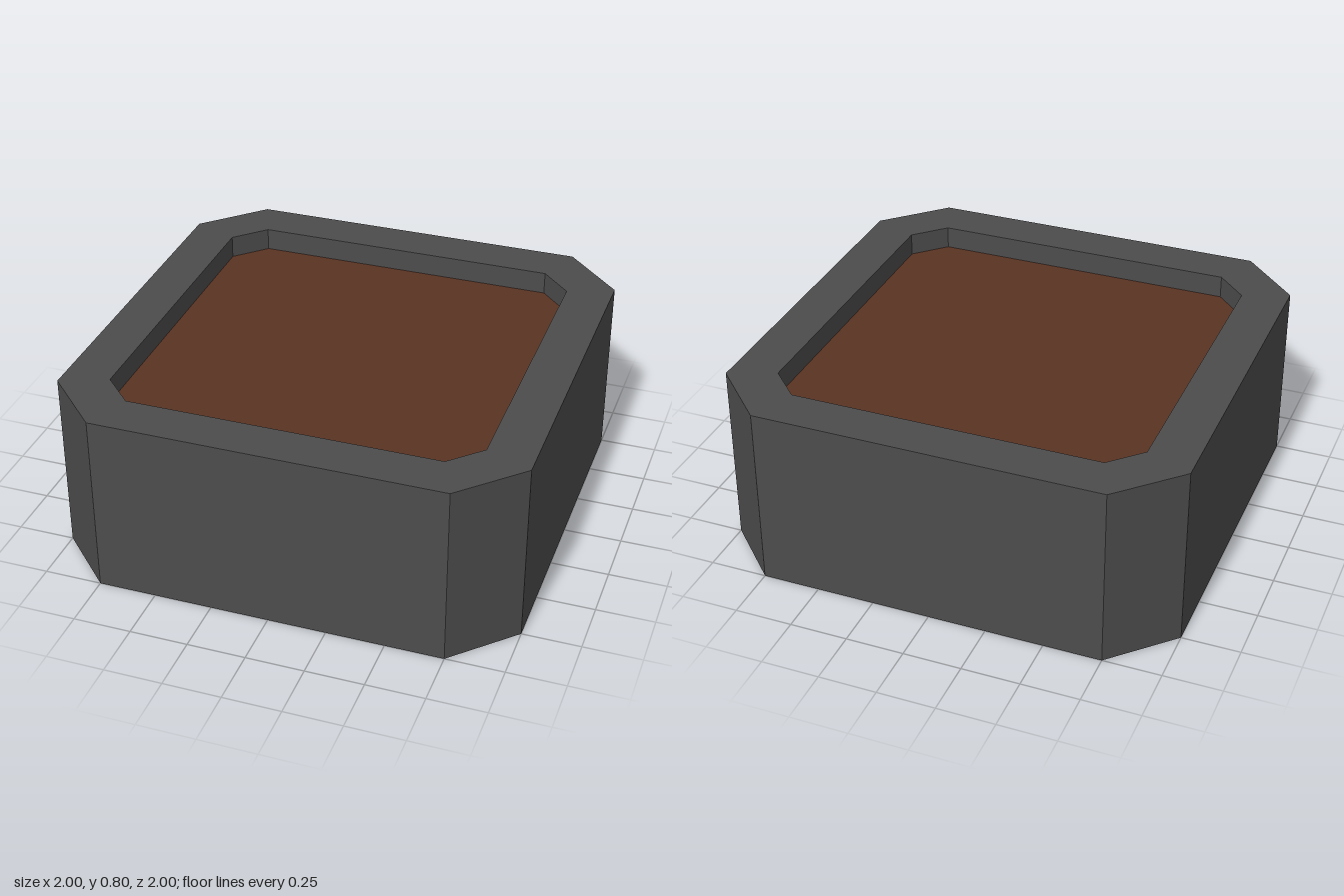
import * as THREE from 'three';

// Square of half-width r with cut corners; c is the half-length of each straight side
function octagon(r, c) {
  return [[r, -c], [r, c], [c, r], [-c, r], [-r, c], [-r, -c], [-c, -r], [c, -r]];
}

// Faceted skin through a list of [halfWidth, halfSide, height] sections
function loft(sections) {
  const rings = sections.map(([r, c, y]) => octagon(r, c).map(([x, z]) => [x, y, z]));
  const pos = [];
  for (let s = 0; s < rings.length - 1; s++) {
    for (let i = 0; i < 8; i++) {
      const j = (i + 1) % 8;
      const a = rings[s][i], b = rings[s][j], d = rings[s + 1][i], e = rings[s + 1][j];
      pos.push(...a, ...d, ...b, ...b, ...d, ...e);
    }
  }
  const geo = new THREE.BufferGeometry();
  geo.setAttribute('position', new THREE.Float32BufferAttribute(pos, 3));
  geo.computeVertexNormals();
  return geo;
}

export function createModel() {
  const group = new THREE.Group();
  group.name = 'planter';

  // Open-bottomed shell: outer wall, flat rim, short inner lip
  const shell = new THREE.Mesh(
    loft([[1, 0.75, 0], [1, 0.75, 0.8], [0.8, 0.67, 0.8], [0.8, 0.67, 0.7]]),
    new THREE.MeshStandardMaterial({ color: 0x4c4c4c, side: THREE.DoubleSide })
  );
  shell.name = 'planterShell';

  // Soil sheet closing the lip
  const outline = new THREE.Shape(octagon(0.8, 0.67).map(([x, y]) => new THREE.Vector2(x, y)));
  const soil = new THREE.Mesh(
    new THREE.ShapeGeometry(outline).rotateX(-Math.PI / 2).translate(0, 0.7, 0),
    new THREE.MeshStandardMaterial({ color: 0x5a3322, side: THREE.DoubleSide })
  );
  soil.name = 'soil';

  group.add(shell, soil);
  return group;
}
